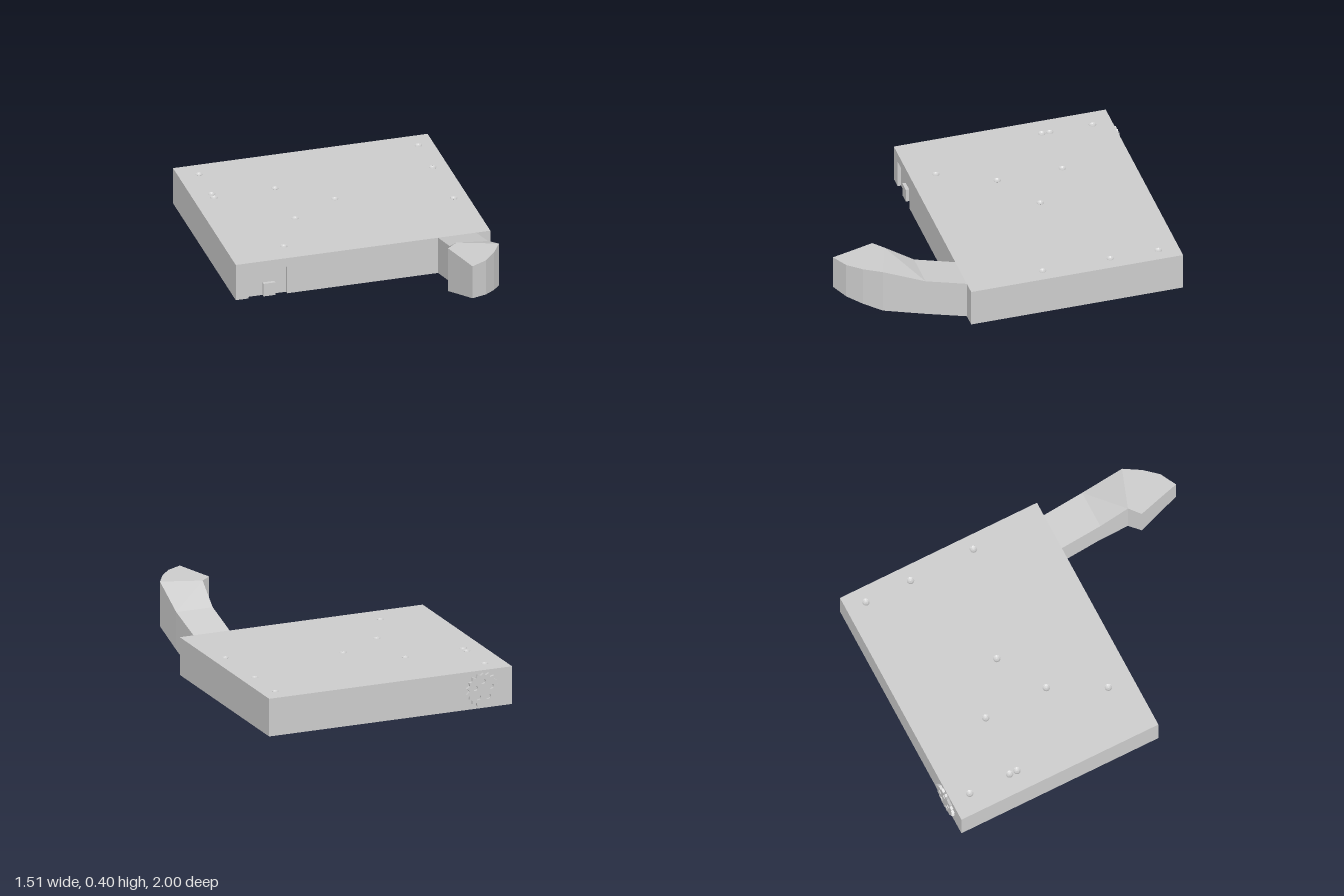
import * as THREE from 'three';

const W = 0.755, H = 0.225, BACK = -0.985, FRONT = 0.275;
const NOTCH = { l: -0.68, r: -0.45, top: 0.17, depth: 0.02 };

const mat = new THREE.MeshStandardMaterial({ color: 0xcccccc, flatShading: true, side: THREE.DoubleSide });

function add(parent, name, geometry, x = 0, y = 0, z = 0) {
  const mesh = new THREE.Mesh(geometry, mat);
  mesh.name = name;
  mesh.position.set(x, y, z);
  parent.add(mesh);
  return mesh;
}

const polygon = pts => new THREE.Shape(pts.map(p => new THREE.Vector2(...p)));

function punch(shape, x, y, r) {
  shape.holes.push(new THREE.Path().absarc(x, y, r, 0, Math.PI * 2, true));
}

// Flat slab with dimples on both faces and a recessed doorway in front
function makeSlab() {
  const slab = new THREE.Group();
  slab.name = 'slab';
  const { l, r, top, depth } = NOTCH;
  const floor = FRONT - depth;

  // Top face with shallow round dimples
  const dimples = [[-0.635, -0.87], [-0.635, -0.615], [-0.635, -0.568], [0.665, -0.865], [-0.27, -0.58],
    [0.665, -0.58], [0.02, -0.36], [-0.265, -0.19], [0.67, -0.175], [-0.425, 0.125]];
  const R = 0.022;
  const topShape = polygon([[-W, -FRONT], [W, -FRONT], [W, -BACK], [-W, -BACK]]);
  const bowl = new THREE.LatheGeometry([[0, -0.01], [R * 0.6, -0.007], [R, 0]].map(p => new THREE.Vector2(...p)), 12);
  for (const [x, z] of dimples) {
    punch(topShape, x, -z, R);
    add(slab, 'topDimple', bowl, x, H, z);
  }
  add(slab, 'topFace', new THREE.ShapeGeometry(topShape, 12).rotateX(-Math.PI / 2), 0, H, 0);

  // Underside with a grid of six blind holes
  const under = polygon([[-W, BACK], [W, BACK], [W, FRONT], [r, FRONT], [r, floor], [l, floor], [l, FRONT], [-W, FRONT]]);
  const pit = new THREE.LatheGeometry([[0, 0.02], [R, 0.02], [R, 0]].map(p => new THREE.Vector2(...p)), 12);
  for (const x of [-0.3, 0.29]) for (const z of [-0.69, -0.363, -0.04]) {
    punch(under, x, z, R);
    add(slab, 'undersideHole', pit, x, 0, z);
  }
  add(slab, 'underside', new THREE.ShapeGeometry(under, 12).rotateX(Math.PI / 2));

  // Outer walls
  const front = polygon([[-W, 0], [l, 0], [l, top], [r, top], [r, 0], [W, 0], [W, H], [-W, H]]);
  add(slab, 'frontWall', new THREE.ShapeGeometry(front), 0, 0, FRONT);
  add(slab, 'backWall', new THREE.PlaneGeometry(2 * W, H).rotateY(Math.PI), 0, H / 2, BACK);
  for (const s of [-1, 1]) {
    add(slab, 'sideWall', new THREE.PlaneGeometry(FRONT - BACK, H).rotateY(s * Math.PI / 2),
      s * W, H / 2, (FRONT + BACK) / 2);
  }

  // Doorway recess and the small block standing in it
  const cx = (l + r) / 2, mid = FRONT - depth / 2;
  add(slab, 'recessBack', new THREE.PlaneGeometry(r - l, top), cx, top / 2, floor);
  add(slab, 'recessCeiling', new THREE.PlaneGeometry(r - l, depth).rotateX(Math.PI / 2), cx, top, mid);
  add(slab, 'recessSide', new THREE.PlaneGeometry(depth, top).rotateY(Math.PI / 2), l, top / 2, mid);
  add(slab, 'recessSide', new THREE.PlaneGeometry(depth, top).rotateY(-Math.PI / 2), r, top / 2, mid);
  add(slab, 'doorBlock', new THREE.BoxGeometry(0.07, 0.08, depth), -0.555, 0.04, mid);
  return slab;
}

// Rising, hooked arm: each row is left x, left z, right x, right z, top y
function makeArm() {
  const rows = [
    [0.445, 0.275, 0.67, 0.275, 0.225],
    [0.442, 0.52, 0.669, 0.52, 0.292],
    [0.43, 0.69, 0.66, 0.77, 0.4],
    [0.365, 0.745, 0.6, 0.87, 0.4],
    [0.4, 0.87, 0.53, 0.95, 0.4],
    [0.435, 1, 0.435, 1, 0.4],
  ];
  const bottom = z => 0.27 * (z - FRONT);
  const pos = [], index = [];
  rows.forEach(([lx, lz, rx, rz, y], i) => {
    pos.push(lx, y, lz, rx, y, rz, rx, bottom(rz), rz, lx, bottom(lz), lz);
    if (i === 0) return;
    for (let k = 0; k < 4; k++) {
      const a = (i - 1) * 4 + k, b = (i - 1) * 4 + (k + 1) % 4;
      index.push(a, a + 4, b, b, a + 4, b + 4);
    }
  });
  const g = new THREE.BufferGeometry();
  g.setAttribute('position', new THREE.Float32BufferAttribute(pos, 3));
  g.setIndex(index);
  const flat = g.toNonIndexed();
  flat.computeVertexNormals();
  return flat;
}

// Thin ragged-edged plate with round openings, on the back wall
function makeRosette() {
  const pts = [];
  for (let i = 0; i < 36; i++) {
    const a = i / 36 * Math.PI * 2;
    const rad = 0.094 + (i % 2 ? 0.009 : -0.006) - (i % 3 === 0 ? 0.004 : 0);
    pts.push([rad * Math.cos(a), rad * Math.sin(a)]);
  }
  const shape = polygon(pts);
  for (let i = 0; i < 5; i++) {
    const a = i / 5 * Math.PI * 2 + 0.3;
    punch(shape, 0.052 * Math.cos(a), 0.052 * Math.sin(a), 0.016);
  }
  return new THREE.ExtrudeGeometry(shape, { depth: 0.015, bevelEnabled: false, curveSegments: 5 });
}

export function createModel() {
  const model = new THREE.Group();
  model.name = 'slabWithArm';
  model.add(makeSlab());
  add(model, 'arm', makeArm());
  add(model, 'backRosette', makeRosette(), -0.57, 0.112, -1);
  return model;
}
